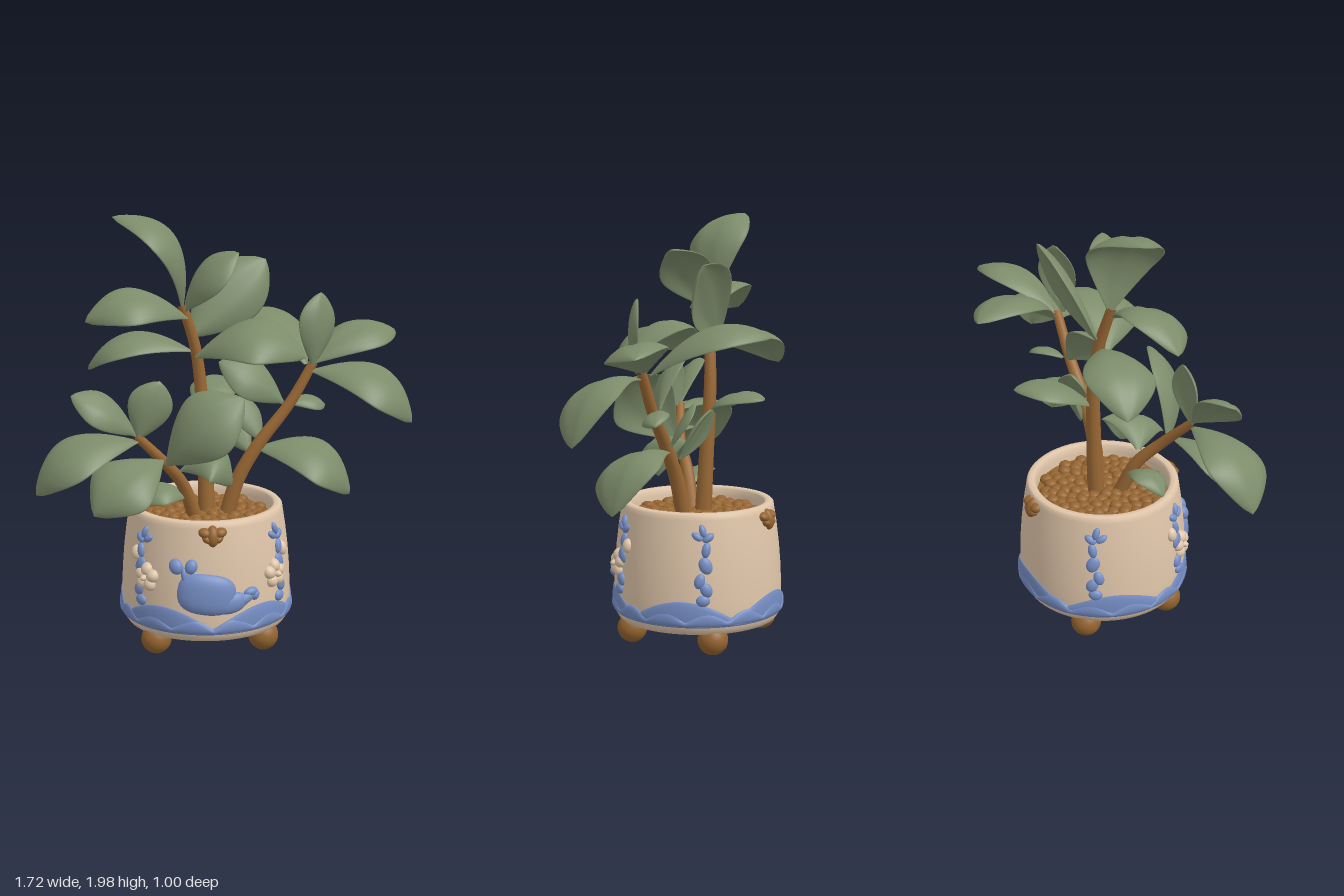
import * as THREE from 'three';
import { mergeGeometries } from 'three/addons/utils/BufferGeometryUtils.js';

const mat = (name, color) => Object.assign(new THREE.MeshStandardMaterial({ color }), { name });
const V = (a) => new THREE.Vector3(...a);
const CX = -0.087; // pot axis
const potR = (y) => 0.395 - 0.2 * Math.max(0, y - 0.2) ** 2;

// Closed skin: (nu + 1) rings of nv points, given by f(u, angle)
function skin(nu, nv, f) {
  const pos = [], idx = [];
  for (let i = 0; i <= nu; i++)
    for (let j = 0; j < nv; j++) pos.push(...f(i / nu, (j / nv) * Math.PI * 2));
  for (let i = 0; i < nu; i++)
    for (let j = 0; j < nv; j++) {
      const a = i * nv + j, b = i * nv + ((j + 1) % nv);
      idx.push(a, b, a + nv, b, b + nv, a + nv);
    }
  const g = new THREE.BufferGeometry();
  g.setAttribute('position', new THREE.Float32BufferAttribute(pos, 3));
  g.setIndex(idx);
  g.computeVertexNormals();
  return g;
}

// Arched leaf from base to tip; up is the side the upper face looks to
function leafGeometry([base, tip, width, arch, up]) {
  const b = V(base), t = V(tip);
  const axis = t.clone().sub(b).normalize();
  const n0 = V(up).addScaledVector(axis, -V(up).dot(axis)).normalize();
  const mid = b.clone().lerp(t, 0.6).addScaledVector(n0, arch * 2);
  const curve = new THREE.QuadraticBezierCurve3(b, mid, t);
  const side = n0.clone().cross(axis);
  return skin(24, 24, (u, a) => {
    const tan = curve.getTangent(u), n = tan.clone().cross(side).normalize();
    const form = Math.pow(Math.max(0, Math.sin(Math.PI * Math.pow(u, 1.12))), 0.7);
    const half = Math.max((width / 2) * form, 0.012 * (1 - u));
    const v = Math.cos(a);
    const bend = -form * width * (0.16 * v * v + 0.035 * Math.exp(-v * v * 20));
    const thick = (0.005 + 0.008 * form) * Math.sin(a) * (u === 1 ? 0 : 1);
    return curve.getPoint(u).addScaledVector(side, half * v).addScaledVector(n, bend + thick).toArray();
  });
}

// Tapered, bent branch
function branchGeometry(points, r0, r1) {
  const curve = new THREE.CatmullRomCurve3(points.map(V));
  const frames = curve.computeFrenetFrames(16, false);
  return skin(16, 12, (u, a) => {
    const i = Math.round(u * 16), r = r0 + (r1 - r0) * u;
    return curve.getPointAt(u)
      .addScaledVector(frames.normals[i], Math.cos(a) * r)
      .addScaledVector(frames.binormals[i], Math.sin(a) * r).toArray();
  });
}

// Flattened sphere laid on the pot wall; square < 1 makes it boxier
function blob(theta, dx, y, sx, sy, sz, turn = 0, square = 1) {
  const g = new THREE.SphereGeometry(1, 20, 14), p = g.attributes.position;
  const q = (s) => Math.sign(s) * Math.pow(Math.abs(s), square);
  for (let i = 0; i < p.count; i++) {
    const lx = q(p.getX(i)) * sx, ly = q(p.getY(i)) * sy;
    const x = lx * Math.cos(turn) - ly * Math.sin(turn) + dx;
    const yy = y + lx * Math.sin(turn) + ly * Math.cos(turn);
    const r = potR(yy) + p.getZ(i) * sz, th = theta + x / potR(y);
    p.setXYZ(i, CX + r * Math.sin(th), yy, r * Math.cos(th));
  }
  g.computeVertexNormals();
  return g;
}

// Band around the pot with a wavy top edge
const band = (bottom, top, depth) => skin(160, 14, (u, a) => {
  const th = u * Math.PI * 2, h = (top(th) - bottom) / 2;
  const y = bottom + h + h * Math.cos(a), r = potR(y) + depth * Math.sin(a);
  return [CX + r * Math.sin(th), y, r * Math.cos(th)];
});

// base, tip, width, arch, upper side
const mainLeaves = [
  [[-0.19, 1.56, -0.02], [-0.5, 1.975, -0.03], 0.34, 0.16, [0.8, 0.6, 0.25]],
  [[-0.18, 1.55, -0.01], [0.06, 1.82, 0.07], 0.25, 0.06, [-0.5, 0.8, 0.5]],
  [[-0.16, 1.42, -0.07], [0.21, 1.76, -0.18], 0.3, 0.03, [-0.2, 0.2, 1]],
  [[-0.17, 1.52, 0.0], [-0.63, 1.52, 0.07], 0.32, 0.12, [0, 1, 0.4]],
  [[-0.15, 1.36, -0.04], [-0.62, 1.26, -0.16], 0.32, 0.12, [0, 1, 0.15]],
  [[-0.13, 1.34, 0.0], [0.36, 1.35, 0.12], 0.43, 0.15, [0.1, 1, 0.35]],
  [[-0.1, 1.06, -0.06], [0.03, 1.16, -0.39], 0.23, 0.06, [0, 1, 0.2]],
];
const rightLeaves = [
  [[0.38, 1.29, -0.02], [0.15, 1.46, -0.5], 0.31, 0.11, [0.2, 1, 0]],
  [[0.4, 1.3, 0.04], [0.44, 1.63, 0.01], 0.21, 0.03, [0.5, 0, 0.85]],
  [[0.4, 1.3, 0.0], [0.83, 1.41, -0.21], 0.28, 0.09, [-0.1, 1, 0.35]],
  [[0.4, 1.27, 0.02], [0.86, 1.03, 0.08], 0.37, 0.14, [0.3, 1, 0.4]],
  [[0.3, 1.11, -0.01], [0.48, 1.08, -0.1], 0.13, 0.03, [0, 1, 0.4]],
  [[0.27, 1.12, 0.0], [-0.03, 1.32, 0.03], 0.24, 0.06, [0.2, 0.7, 0.7]],
  [[0.17, 0.94, 0.0], [0.08, 1.14, -0.08], 0.15, 0.01, [0.5, 0.2, 0.8]],
  [[0.12, 0.88, -0.02], [-0.01, 1.1, -0.12], 0.16, 0.01, [0, 0.3, 1]],
  [[0.15, 0.91, 0.02], [0.58, 0.69, 0.06], 0.39, 0.14, [0.3, 1, 0.35]],
];
const leftLeaves = [
  [[-0.28, 0.9, 0.23], [0.06, 1.21, 0.31], 0.33, 0.09, [-0.2, 0.6, 0.8]],
  [[-0.21, 0.84, 0.12], [0.02, 0.77, 0.15], 0.32, 0.14, [0.2, 1, 0.4]],
  [[-0.41, 1.02, 0.28], [-0.86, 0.8, 0.33], 0.36, 0.13, [-0.3, 1, 0.35]],
  [[-0.3, 0.92, 0.24], [-0.61, 0.72, 0.41], 0.34, 0.09, [-0.3, 0.8, 0.7]],
  [[-0.42, 1.05, 0.28], [-0.7, 1.24, 0.32], 0.21, 0.05, [0.3, 0.8, 0.6]],
  [[-0.41, 1.03, 0.28], [-0.31, 1.29, 0.28], 0.2, 0.02, [0.1, 0.1, 1]],
  [[-0.17, 0.7, 0.08], [-0.41, 0.69, 0.14], 0.19, 0.07, [0, 1, 0.3]],
];

export function createModel() {
  const group = new THREE.Group();
  const leaf = mat('leaf green', 0x7c8c6a), cream = mat('cream glaze', 0xe0c6aa);
  const wood = mat('bark brown', 0x9a6834), gold = mat('foot brown', 0x946430), blue = mat('blue glaze', 0x768ec4);
  const add = (name, geo, material) => {
    const m = new THREE.Mesh(Array.isArray(geo) ? mergeGeometries(geo) : geo, material);
    m.name = name;
    group.add(m);
    return m;
  };

  // Pot
  const wall = [0.16, 0.25, 0.35, 0.45, 0.55, 0.63].map((y) => [potR(y), y]);
  const profile = [[0, 0.1], [0.34, 0.1], [0.372, 0.108], [0.386, 0.13], ...wall,
    [0.355, 0.65], [0.345, 0.66], [0.322, 0.66], [0.312, 0.65], [0.308, 0.62], [0.306, 0.56]];
  add('pot', new THREE.LatheGeometry(profile.map((p) => new THREE.Vector2(...p)), 64), cream).position.x = CX;

  // Feet
  for (const sx of [-1, 1])
    for (const sz of [-1, 1])
      add('foot', new THREE.SphereGeometry(0.07, 24, 16), gold).position.set(CX + sx * 0.247, 0.07, sz * 0.213);

  // Soil and pebbles in a spiral
  add('soil', new THREE.CylinderGeometry(0.309, 0.309, 0.02, 48), gold).position.set(CX, 0.58, 0);
  const pebbles = [];
  for (let i = 0; i < 115; i++) {
    const r = 0.285 * Math.sqrt((i + 0.5) / 115), a = i * 2.39996;
    pebbles.push(new THREE.SphereGeometry(0.032, 10, 7).scale(1, 0.75, 1)
      .translate(CX + r * Math.cos(a), 0.597 + 0.006 * Math.sin(i * 5), r * Math.sin(a)));
  }
  add('pebbles', pebbles, gold);

  // Waves and clouds round the foot of the pot
  const hills = (n, low, high) => (th) => low + (high - low) * Math.abs(Math.sin((th * n) / 2));
  add('waveBand', band(0.145, hills(5, 0.175, 0.265), 0.008), blue);
  add('frontWaves', band(0.15, hills(13, 0.17, 0.215), 0.012), blue);

  // Whale on the front
  add('whale', [
    blob(0, -0.03, 0.335, 0.135, 0.094, 0.035, -0.12, 0.75),
    blob(0, 0.08, 0.29, 0.085, 0.047, 0.027, 0.2),
    blob(0, 0.15, 0.305, 0.055, 0.024, 0.022, 0.5),
    blob(0, 0.178, 0.333, 0.035, 0.02, 0.022, 0.1),
    blob(0, 0.2, 0.315, 0.02, 0.026, 0.022, -0.3),
    blob(0, -0.13, 0.425, 0.014, 0.035, 0.018, 0.1),
    blob(0, -0.168, 0.458, 0.032, 0.037, 0.026, 0.5),
    blob(0, -0.098, 0.462, 0.028, 0.034, 0.026, -0.3),
  ], blue);

  // Vines: mirrored pairs, the front pair with blossoms
  const vine = [[0.0, 0.585, 0.016, 0.03, 0.3], [0.025, 0.555, 0.03, 0.018, 0.6], [-0.025, 0.56, 0.028, 0.016, -0.6],
    [0.015, 0.5, 0.02, 0.035, -0.2], [0.012, 0.43, 0.03, 0.04, 0.4], [-0.015, 0.36, 0.024, 0.035, -0.3],
    [0.015, 0.32, 0.027, 0.034, 0.5], [0.0, 0.27, 0.032, 0.026, 0]];
  for (const s of [-1, 1]) {
    for (const deg of [53, 122])
      add('vine', vine.map(([x, y, w, h, r]) => blob((s * deg * Math.PI) / 180, s * x, y, w, h, 0.018, s * r)), blue);
    const th = (s * 48 * Math.PI) / 180, petals = [blob(th, 0, 0.385, 0.018, 0.018, 0.042)];
    for (let i = 0; i < 5; i++) {
      const a = (i * Math.PI * 2) / 5 + Math.PI / 2;
      petals.push(blob(th, 0.036 * Math.cos(a), 0.385 + 0.036 * Math.sin(a), 0.032, 0.03, 0.03, a));
    }
    petals.push(blob(th, s * 0.085, 0.48, 0.026, 0.034, 0.025));
    add('blossom', petals, cream);
  }

  // Ornaments under the rim, front and back
  for (const th of [0, Math.PI])
    add('rimOrnament', [
      blob(th, 0, 0.6, 0.028, 0.048, 0.032),
      ...[-1, 1].flatMap((s) => [blob(th, s * 0.034, 0.615, 0.03, 0.022, 0.028, s * 0.2),
        blob(th, s * 0.025, 0.588, 0.024, 0.018, 0.026, s * 0.6)]),
    ], gold);

  // Branches
  add('mainStem', branchGeometry([[-0.08, 0.56, -0.03], [-0.085, 0.85, -0.045], [-0.105, 1.2, -0.055],
    [-0.13, 1.38, -0.04], [-0.19, 1.58, -0.01]], 0.04, 0.022), wood);
  add('rightBranch', branchGeometry([[0.0, 0.56, 0.02], [0.06, 0.77, 0.03], [0.16, 0.94, 0.03],
    [0.3, 1.12, 0.02], [0.41, 1.31, 0.01]], 0.038, 0.022), wood);
  add('leftBranch', branchGeometry([[-0.13, 0.56, 0.05], [-0.2, 0.77, 0.12], [-0.28, 0.89, 0.2],
    [-0.42, 1.05, 0.28]], 0.035, 0.02), wood);

  // Leaves
  for (const [name, list] of [['mainLeaf', mainLeaves], ['rightLeaf', rightLeaves], ['leftLeaf', leftLeaves]])
    for (const spec of list) add(name, leafGeometry(spec), leaf);

  return group;
}
